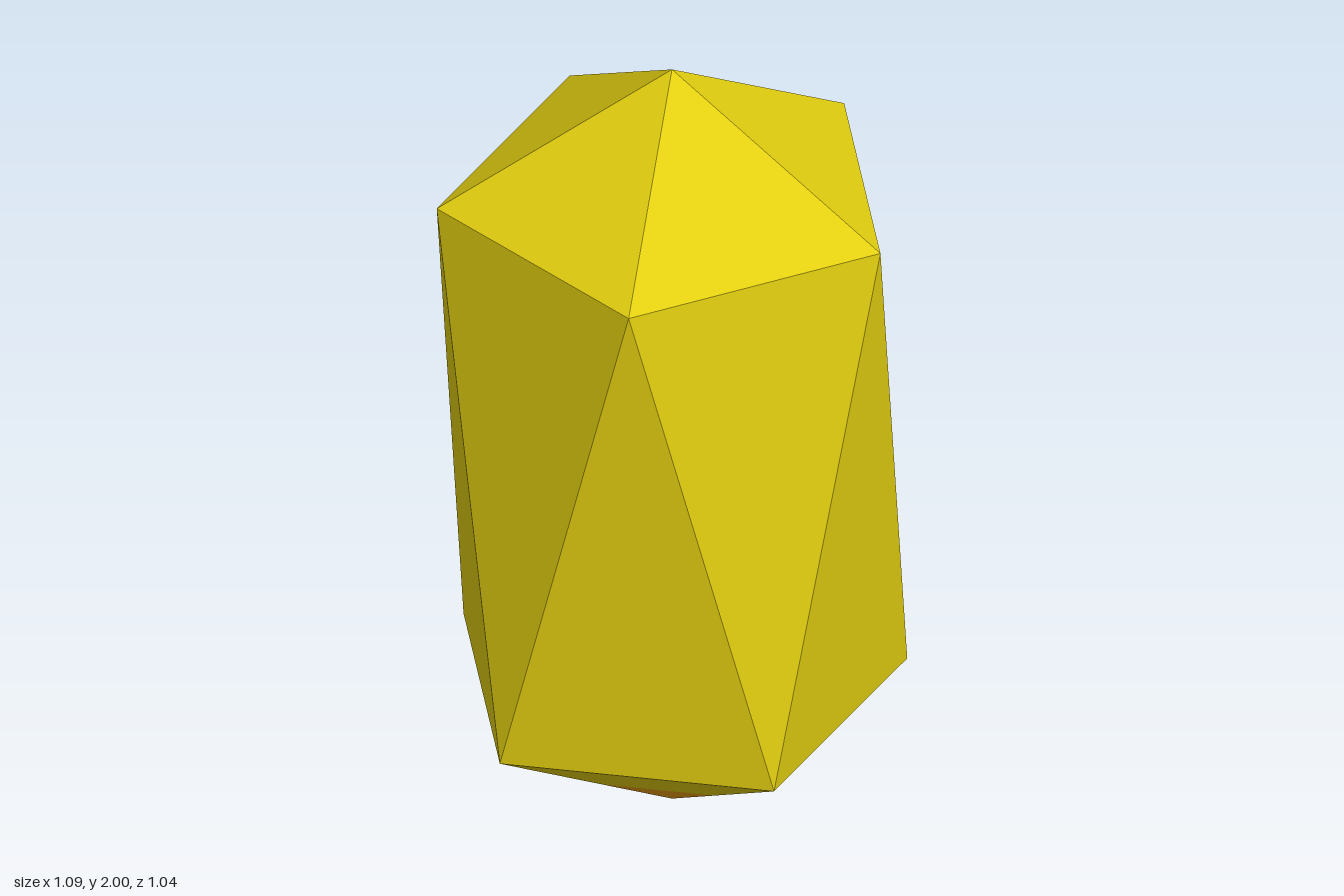
import * as THREE from 'three';

const SIDES = 5, RADIUS = 0.545;
const TOP_Y = 2, UPPER_Y = 1.665, LOWER_Y = 0.343, BOTTOM_Y = 0.005;
const TIP_SHARE = 0.41; // how far the tip colour climbs the lower edges

// Ring of five corners, turned by a fraction of one step
function ring(radius, y, turn) {
  return Array.from({ length: SIDES }, (_, k) => {
    const a = ((k + turn) / SIDES) * Math.PI * 2;
    return new THREE.Vector3(Math.cos(a) * radius, y, Math.sin(a) * radius);
  });
}

// Unshared corners give each facet its own flat normal
function facetMesh(name, points, material) {
  const geometry = new THREE.BufferGeometry().setFromPoints(points);
  geometry.computeVertexNormals();
  const mesh = new THREE.Mesh(geometry, material);
  mesh.name = name;
  return mesh;
}

export function createModel() {
  const yellow = new THREE.MeshStandardMaterial({ color: 0xe2ce10 });
  yellow.name = 'crystal yellow';
  const amber = new THREE.MeshStandardMaterial({ color: 0xe89a12 });
  amber.name = 'tip amber';

  const top = new THREE.Vector3(0, TOP_Y, 0);
  const bottom = new THREE.Vector3(0, BOTTOM_Y, 0);
  const upper = ring(RADIUS, UPPER_Y, 0);
  const lower = ring(RADIUS, LOWER_Y, 0.5);
  const collar = lower.map((p) => bottom.clone().lerp(p, TIP_SHARE));

  const crown = [], body = [], base = [], tip = [];
  for (let k = 0; k < SIDES; k++) {
    const n = (k + 1) % SIDES;
    crown.push(top, upper[n], upper[k]);
    body.push(upper[k], upper[n], lower[k], lower[k], upper[n], lower[n]);
    base.push(lower[k], lower[n], collar[n], lower[k], collar[n], collar[k]);
    tip.push(collar[k], collar[n], bottom);
  }

  const group = new THREE.Group();
  group.name = 'crystal';
  group.add(
    facetMesh('crown', crown, yellow),
    facetMesh('body', body, yellow),
    facetMesh('base', base, yellow),
    facetMesh('tip', tip, amber),
  );
  return group;
}
